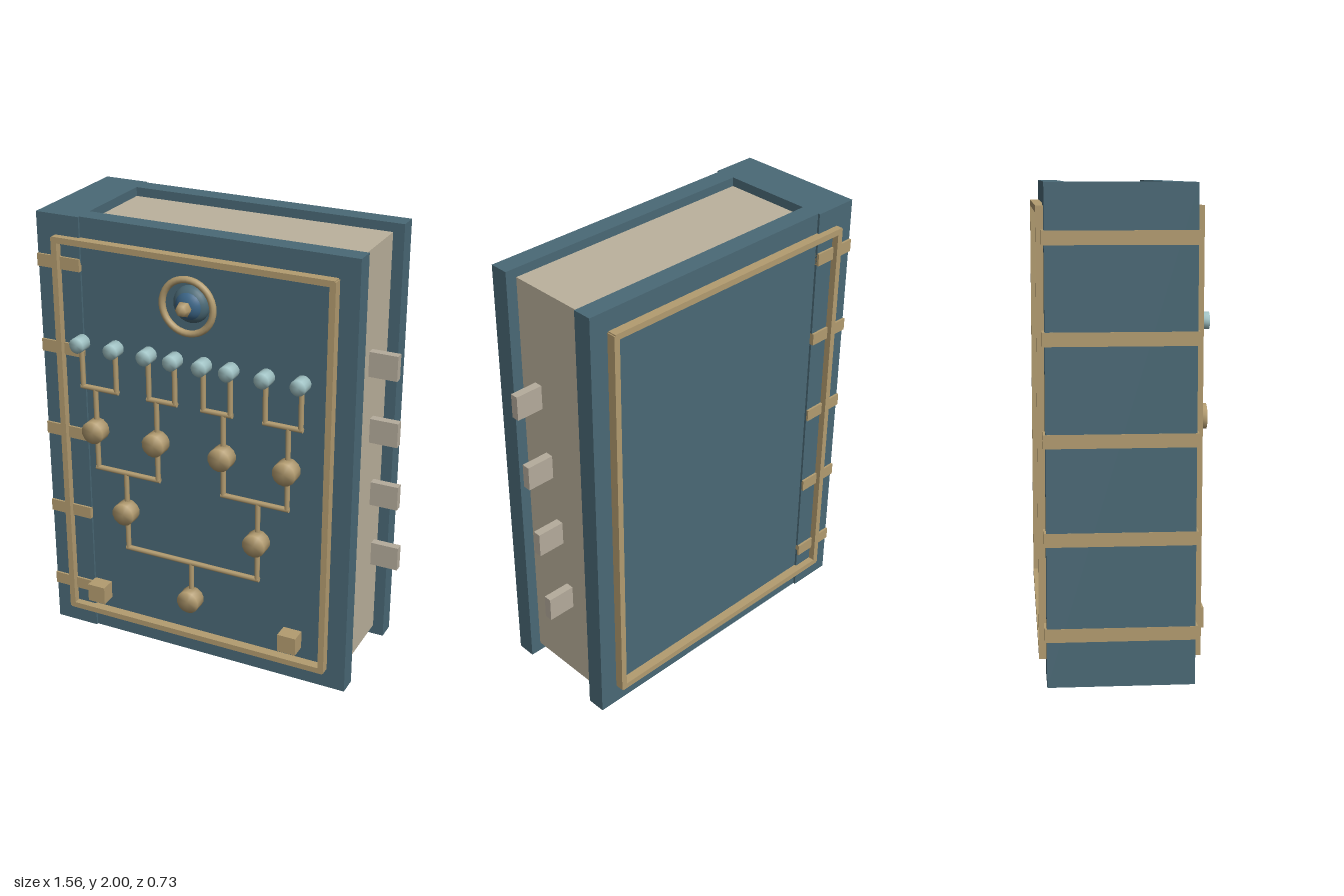
import * as THREE from 'three';
import { mergeVertices } from 'three/addons/utils/BufferGeometryUtils.js';

const mat = (name, color) => Object.assign(new THREE.MeshStandardMaterial({ color }), { name });

export function createModel() {
  const cover = mat('teal cover', 0x4a6976);
  const brass = mat('brass', 0xb39c70);
  const paper = mat('paper', 0xbcb29d);
  const tabPaper = mat('tab paper', 0xb5ac9c);
  const pale = mat('pale crystal', 0xa0c2c4);
  const blue = mat('blue enamel', 0x3c6688);

  const book = new THREE.Group();
  book.name = 'book';

  const add = (name, geometry, material, x, y, z) => {
    const mesh = new THREE.Mesh(geometry, material);
    mesh.name = name;
    mesh.position.set(x, y, z);
    book.add(mesh);
    return mesh;
  };
  // Box given by its limits on each axis
  const block = (name, material, [x0, x1], [y0, y1], [z0, z1]) =>
    add(name, new THREE.BoxGeometry(x1 - x0, y1 - y0, z1 - z0), material,
      (x0 + x1) / 2, (y0 + y1) / 2, (z0 + z1) / 2);

  // Covers, spine and page block
  block('frontCover', cover, [-0.575, 0.68], [0, 2], [0.17, 0.255]);
  block('backCover', cover, [-0.575, 0.68], [0, 2], [-0.32, -0.235]);
  block('spine', cover, [-0.78, -0.575], [0, 2], [-0.33, 0.265]);
  block('pageBlock', paper, [-0.575, 0.63], [0.045, 1.96], [-0.235, 0.17]);

  // Raised bands around the spine
  for (const y of [0.215, 0.605, 1.0, 1.4, 1.79])
    block('spineBand', brass, [-0.781, -0.575], [y - 0.028, y + 0.028], [-0.34, 0.275]);

  // Rectangular borders on both covers
  const border = (name, z) => {
    for (const x of [[-0.695, -0.668], [0.568, 0.595]]) block(name, brass, x, [0.095, 1.905], z);
    for (const y of [[0.09, 0.117], [1.883, 1.91]]) block(name, brass, [-0.69, 0.59], y, z);
  };
  border('frontBorder', [0.255, 0.298]);
  border('backBorder', [-0.36, -0.32]);

  // Index tabs beside the page edges
  [[0.52, -0.1], [0.845, -0.053], [1.165, -0.008], [1.485, 0.037]].forEach(([y, z]) =>
    block('pageTab', tabPaper, [0.655, 0.78], [y - 0.055, y + 0.055], [z - 0.018, z + 0.018]));

  // Square studs near the lower corners
  for (const x of [-0.533, 0.428])
    block('cornerStud', brass, [x - 0.043, x + 0.043], [0.17, 0.255], [0.255, 0.325]);

  // Softly shaded round stud facing forward
  const studGeometry = (radius) => {
    const g = new THREE.CylinderGeometry(radius, radius, 0.06, 14).rotateX(Math.PI / 2);
    g.deleteAttribute('normal');
    g.deleteAttribute('uv');
    const merged = mergeVertices(g);
    merged.computeVertexNormals();
    return merged;
  };
  const nodeGeometry = studGeometry(0.053);
  const leafGeometry = studGeometry(0.035);

  // Straight rod between two points on the cover
  const rod = (x0, y0, x1, y1) => {
    const length = Math.hypot(x1 - x0, y1 - y0);
    const mesh = add('branchRod', new THREE.CylinderGeometry(0.012, 0.012, length, 8), brass,
      (x0 + x1) / 2, (y0 + y1) / 2, 0.29);
    mesh.rotation.z = -Math.atan2(x1 - x0, y1 - y0);
  };

  // Branching tree: each level splits in two
  const levels = [
    { y: 0.305, xs: [-0.052] },
    { y: 0.675, xs: [-0.37, 0.27] },
    { y: 1.05, xs: [-0.51, -0.21, 0.107, 0.405] },
    { y: 1.45, xs: [-0.57, -0.405, -0.245, -0.12, 0.015, 0.14, 0.3, 0.46] },
  ];
  const forkHeights = [0.488, 0.865, 1.247];
  levels.forEach(({ y, xs }, level) => {
    const last = level === levels.length - 1;
    xs.forEach((x, i) => {
      add(last ? 'leafStud' : 'branchStud', last ? leafGeometry : nodeGeometry,
        last ? pale : brass, x, y, 0.305);
      if (last) return;
      const fork = forkHeights[level], next = levels[level + 1];
      const a = next.xs[2 * i], b = next.xs[2 * i + 1];
      rod(x, y, x, fork);
      rod(a - 0.01, fork, b + 0.01, fork);
      rod(a, fork, a, next.y);
      rod(b, fork, b, next.y);
    });
  });

  // Round medallion: ring, enamel dome and faceted knob
  const mx = -0.052, my = 1.7;
  add('medallionRing', new THREE.TorusGeometry(0.117, 0.015, 10, 36), brass, mx, my, 0.295);
  const dome = new THREE.SphereGeometry(1, 24, 10, 0, Math.PI * 2, 0, Math.PI / 2).rotateX(Math.PI / 2);
  add('medallionDome', dome, cover, mx, my, 0.255).scale.set(0.082, 0.082, 0.05);
  add('medallionCenter', dome, blue, mx, my, 0.265).scale.set(0.068, 0.068, 0.05);
  add('medallionKnob', new THREE.SphereGeometry(0.035, 6, 4).rotateX(Math.PI / 2), brass, mx, my, 0.33);

  return book;
}
